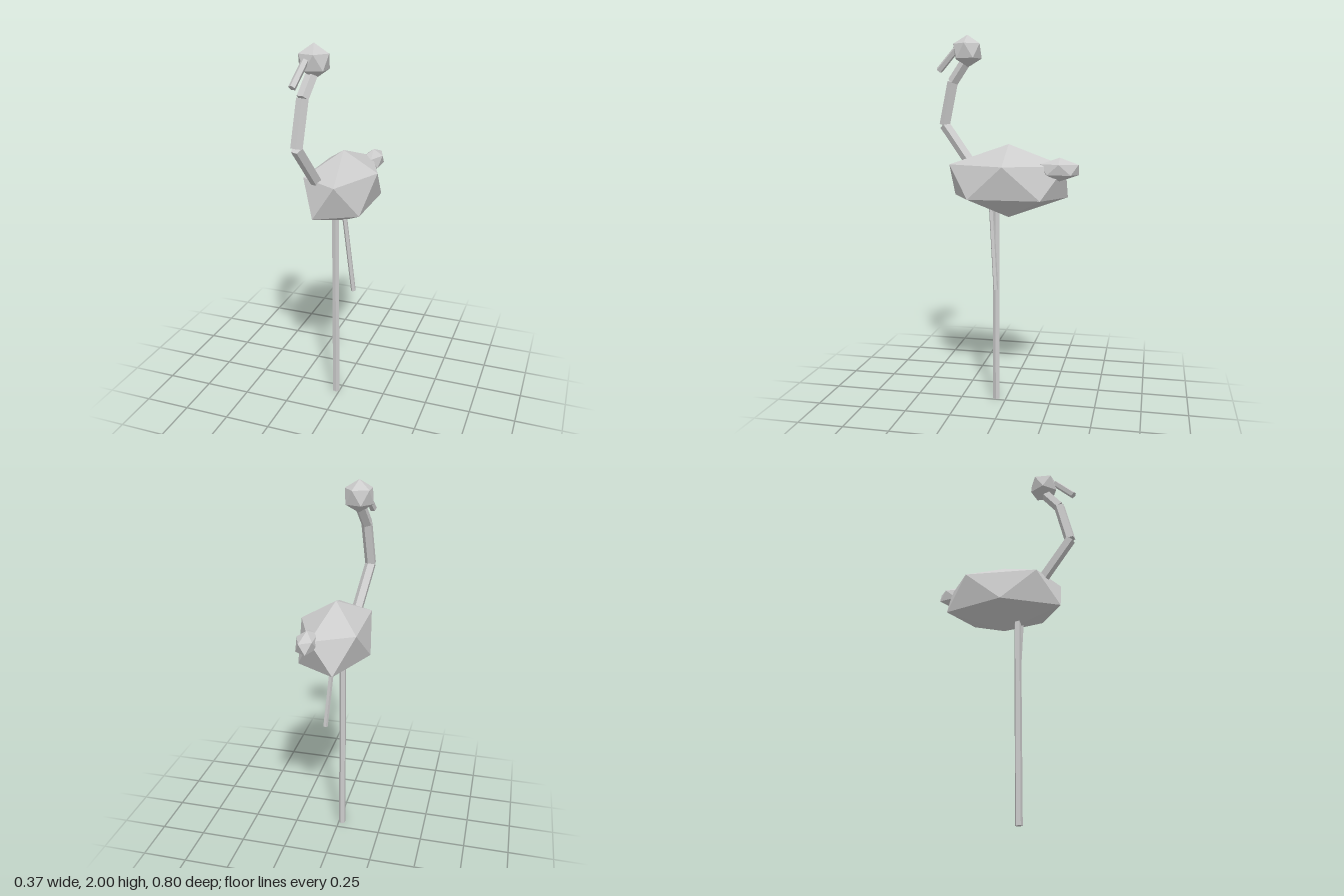
import * as THREE from 'three';

const grey = new THREE.MeshStandardMaterial({ color: 0xcccccc, flatShading: true });
grey.name = 'plain grey';

// Icosahedron standing on a vertex, with one upper-ring corner towards +x
function faceted(name, [x, y, z], [rx, ry, rz]) {
  const h = 1 / Math.sqrt(5), r = 2 * h;
  const verts = [0, 1, 0], faces = [];
  for (const [level, shift] of [[h, 0], [-h, 0.5]]) {
    for (let k = 0; k < 5; k++) {
      const a = (k + shift) * Math.PI * 0.4;
      verts.push(r * Math.cos(a), level, r * Math.sin(a));
    }
  }
  verts.push(0, -1, 0);
  for (let k = 0; k < 5; k++) {
    const n = (k + 1) % 5;
    const u0 = 1 + k, u1 = 1 + n, l0 = 6 + k, l1 = 6 + n;
    faces.push(0, u1, u0, u0, u1, l0, l0, u1, l1, 11, l0, l1);
  }
  const geo = new THREE.PolyhedronGeometry(verts, faces, 1, 0);
  geo.scale(rx, ry, rz);
  const mesh = new THREE.Mesh(geo, grey);
  mesh.name = name;
  mesh.position.set(x, y, z);
  return mesh;
}

// Five-sided rod between two points
function rod(name, from, to, radius) {
  const a = new THREE.Vector3(...from), b = new THREE.Vector3(...to);
  const dir = b.clone().sub(a);
  const geo = new THREE.CylinderGeometry(radius, radius, dir.length(), 5, 1, false, Math.PI / 2);
  const mesh = new THREE.Mesh(geo, grey);
  mesh.name = name;
  mesh.position.copy(a).add(b).multiplyScalar(0.5);
  mesh.quaternion.setFromUnitVectors(new THREE.Vector3(0, 1, 0), dir.normalize());
  return mesh;
}

export function createModel() {
  const model = new THREE.Group();
  model.name = 'wadingBird';

  // Body, tail and head
  model.add(
    faceted('body', [0, 1.235, -0.02], [0.207, 0.195, 0.365]),
    faceted('tail', [0.075, 1.307, -0.302], [0.058, 0.061, 0.116]),
    faceted('head', [-0.063, 1.915, 0.217], [0.085, 0.085, 0.085])
  );

  // Neck in three straight segments
  const neck = new THREE.Group();
  neck.name = 'neck';
  const joints = [
    [-0.066, 1.32, 0.203],
    [-0.102, 1.525, 0.357],
    [-0.088, 1.755, 0.305],
    [-0.063, 1.89, 0.205],
  ];
  for (let i = 0; i < 3; i++) {
    neck.add(rod('neckSegment' + (i + 1), joints[i], joints[i + 1], 0.031));
  }
  model.add(neck);

  // Beak, standing leg and raised leg
  model.add(
    rod('beak', [-0.08, 1.925, 0.285], [-0.104, 1.817, 0.388], 0.019),
    rod('standingLeg', [-0.02, 0, 0.053], [-0.02, 1.12, 0.053], 0.0195),
    rod('raisedLeg', [0.034, 1.12, 0.069], [0.076, 0.657, 0.035], 0.0135)
  );
  return model;
}
